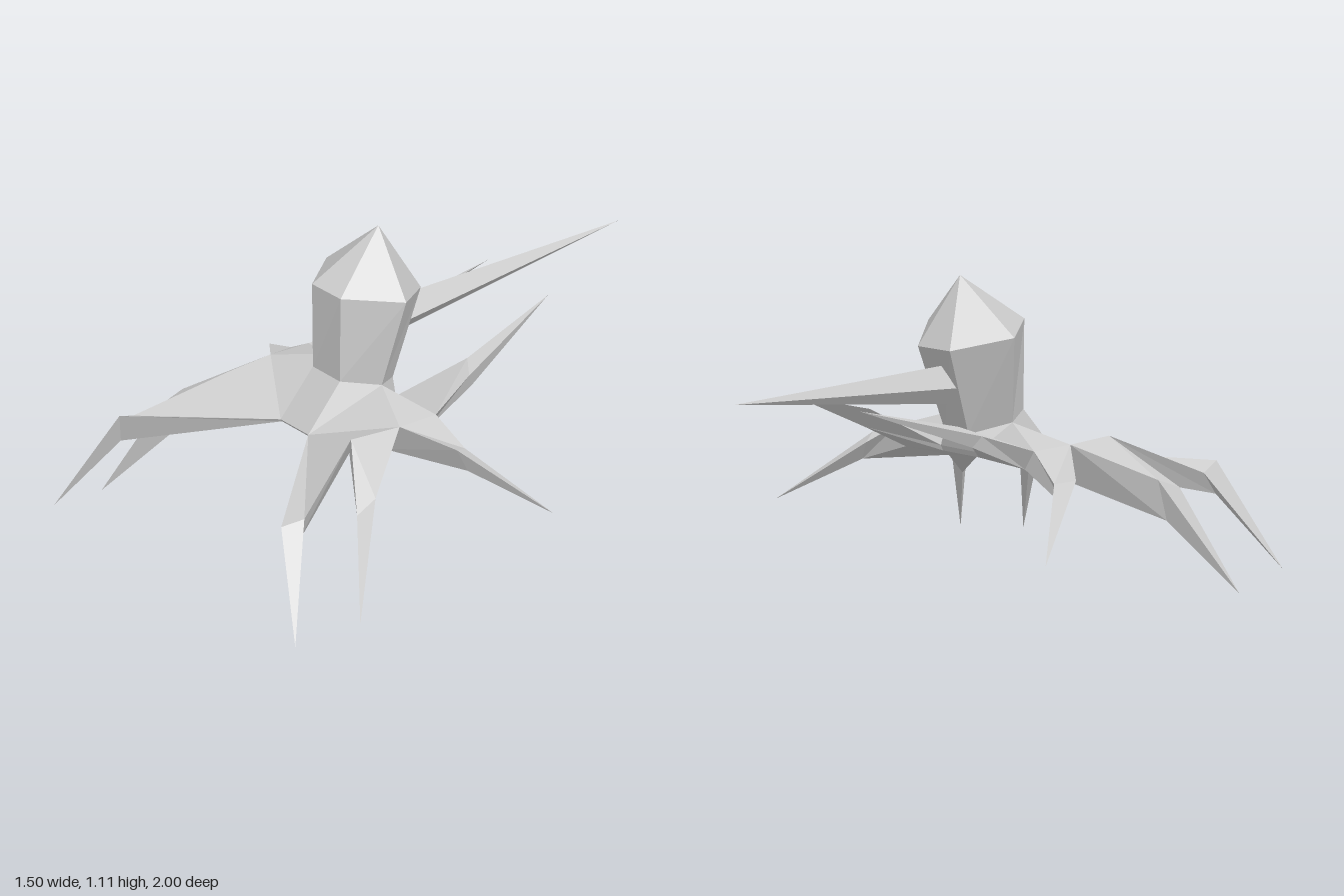
import * as THREE from 'three';

const material = new THREE.MeshStandardMaterial({ color: 0xcccccc, flatShading: true });

// Faceted mesh from a list of triangles, each of three [x, y, z] corners
function facets(name, triangles) {
  const geometry = new THREE.BufferGeometry();
  geometry.setAttribute('position', new THREE.Float32BufferAttribute(triangles.flat(2), 3));
  geometry.computeVertexNormals();
  const mesh = new THREE.Mesh(geometry, material);
  mesh.name = name;
  return mesh;
}

const quad = (a, b, c, d) => [[a, b, c], [a, c, d]];

// Body corners on one side: deck rim, neck and underside (suffix L = low)
function bodyCorners(side) {
  const k = side > 0 ? 1 : -1.06;
  const at = (x, y, z) => [x * k, y, z];
  return {
    front: at(0.075, 0.45, 0.467), shoulder: at(0.33, 0.535, 0.48), mid: at(0.35, 0.53, 0.28),
    rear: at(0.345, 0.525, 0.115), back: at(0.09, 0.49, 0.09),
    neckFront: at(0.073, 0.612, 0.325), neckSide: at(0.15, 0.59, 0.2), neckBack: at(0.06, 0.55, 0.08),
    frontL: at(0.075, 0.44, 0.46), shoulderL: at(0.22, 0.415, 0.4), midL: at(0.26, 0.41, 0.28),
    rearL: at(0.3, 0.455, 0.115), backL: at(0.09, 0.47, 0.1),
  };
}

const right = bodyCorners(1), left = bodyCorners(-1);
const flip = (triangles, side) => side > 0 ? triangles : triangles.map(([a, b, c]) => [a, c, b]);

function buildBody() {
  const belly = [0, 0.435, 0.28];
  const triangles = [];
  for (const [side, c] of [[1, right], [-1, left]]) {
    triangles.push(...flip([
      [c.front, c.shoulder, c.mid], [c.front, c.mid, c.neckSide], [c.front, c.neckSide, c.neckFront],
      [c.mid, c.rear, c.neckSide], [c.rear, c.back, c.neckSide], [c.back, c.neckBack, c.neckSide],
      [c.shoulderL, c.frontL, belly], [c.midL, c.shoulderL, belly],
      [c.rearL, c.midL, belly], [c.backL, c.rearL, belly],
    ], side));
  }
  triangles.push(
    ...quad(left.front, right.front, right.neckFront, left.neckFront),
    ...quad(right.back, left.back, left.neckBack, right.neckBack),
    ...quad(left.frontL, right.frontL, right.front, left.front),
    ...quad(right.backL, left.backL, left.back, right.back),
    [right.frontL, left.frontL, belly], [left.backL, right.backL, belly]);
  return facets('body', triangles);
}

// Six-sided head widening upward from the neck and closing in a point
function buildHead() {
  const neck = [left.neckFront, right.neckFront, right.neckSide, right.neckBack, left.neckBack, left.neckSide];
  const brow = [[-0.08, 0.932, 0.327], [0.068, 0.928, 0.318], [0.207, 0.912, 0.137],
    [0.06, 0.86, -0.045], [-0.1, 0.862, -0.04], [-0.247, 0.908, 0.13]];
  const apex = [-0.02, 1.107, 0.08];
  return facets('head', neck.flatMap((p, i) => {
    const j = (i + 1) % 6;
    return [...quad(p, neck[j], brow[j], brow[i]), [brow[i], brow[j], apex]];
  }));
}

// Long four-sided spike behind the head
function buildSpike() {
  const ring = [[-0.03, 0.8, 0.03], [0.025, 0.72, 0.04], [-0.03, 0.655, 0.06], [-0.075, 0.72, 0.04]];
  const tip = [-0.042, 0.78, -1.003];
  return facets('backSpike', ring.map((p, i) => [p, ring[(i + 1) % 4], tip]));
}

// Leg from two neighbouring rim corners to a three-cornered knee and a sharp tip
function buildLeg(name, side, from, to, [kneeA, kneeB, kneeLow, tip]) {
  const c = side > 0 ? right : left;
  const p = c[from], q = c[to], pLow = c[from + 'L'], qLow = c[to + 'L'];
  return facets(name, flip([
    [p, kneeA, kneeB], [p, kneeB, q], [q, kneeB, kneeLow], [q, kneeLow, qLow],
    [qLow, kneeLow, pLow], [pLow, kneeLow, kneeA], [pLow, kneeA, p],
    [kneeA, tip, kneeB], [kneeB, tip, kneeLow], [kneeLow, tip, kneeA],
  ], side));
}

// Knee corners and tip of each leg, left (+x) then right (-x)
const legs = [
  ['frontLeg', 'front', 'shoulder',
    [[0.453, 0.37, 0.888], [0.478, 0.385, 0.805], [0.475, 0.275, 0.85], [0.66, 0.015, 0.99]],
    [[-0.492, 0.422, 0.855], [-0.515, 0.39, 0.775], [-0.515, 0.31, 0.83], [-0.68, 0.045, 0.997]]],
  ['middleLeg', 'shoulder', 'mid',
    [[0.54, 0.365, 0.62], [0.53, 0.4, 0.53], [0.51, 0.28, 0.57], [0.705, 0.045, 0.737]],
    [[-0.56, 0.365, 0.62], [-0.555, 0.4, 0.525], [-0.55, 0.25, 0.57], [-0.74, 0, 0.737]]],
  ['rearLeg', 'mid', 'rear',
    [[0.525, 0.472, 0.165], [0.49, 0.445, 0.1], [0.53, 0.38, 0.12], [0.748, 0.235, -0.088]],
    [[-0.57, 0.447, 0.127], [-0.52, 0.435, 0.07], [-0.54, 0.355, 0.1], [-0.75, 0.205, -0.178]]],
  ['raisedBackLeg', 'rear', 'back',
    [[0.305, 0.605, -0.065], [0.225, 0.625, -0.12], [0.285, 0.55, -0.09], [0.173, 0.725, -0.52]],
    [[-0.272, 0.585, -0.045], [-0.2, 0.615, -0.09], [-0.25, 0.545, -0.07], [-0.18, 0.72, -0.535]]],
];

export function createModel() {
  const model = new THREE.Group();
  model.name = 'spikedCreature';
  model.add(buildBody(), buildHead(), buildSpike());
  for (const [name, from, to, leftLeg, rightLeg] of legs) {
    model.add(buildLeg(name + 'Left', 1, from, to, leftLeg));
    model.add(buildLeg(name + 'Right', -1, from, to, rightLeg));
  }
  return model;
}
